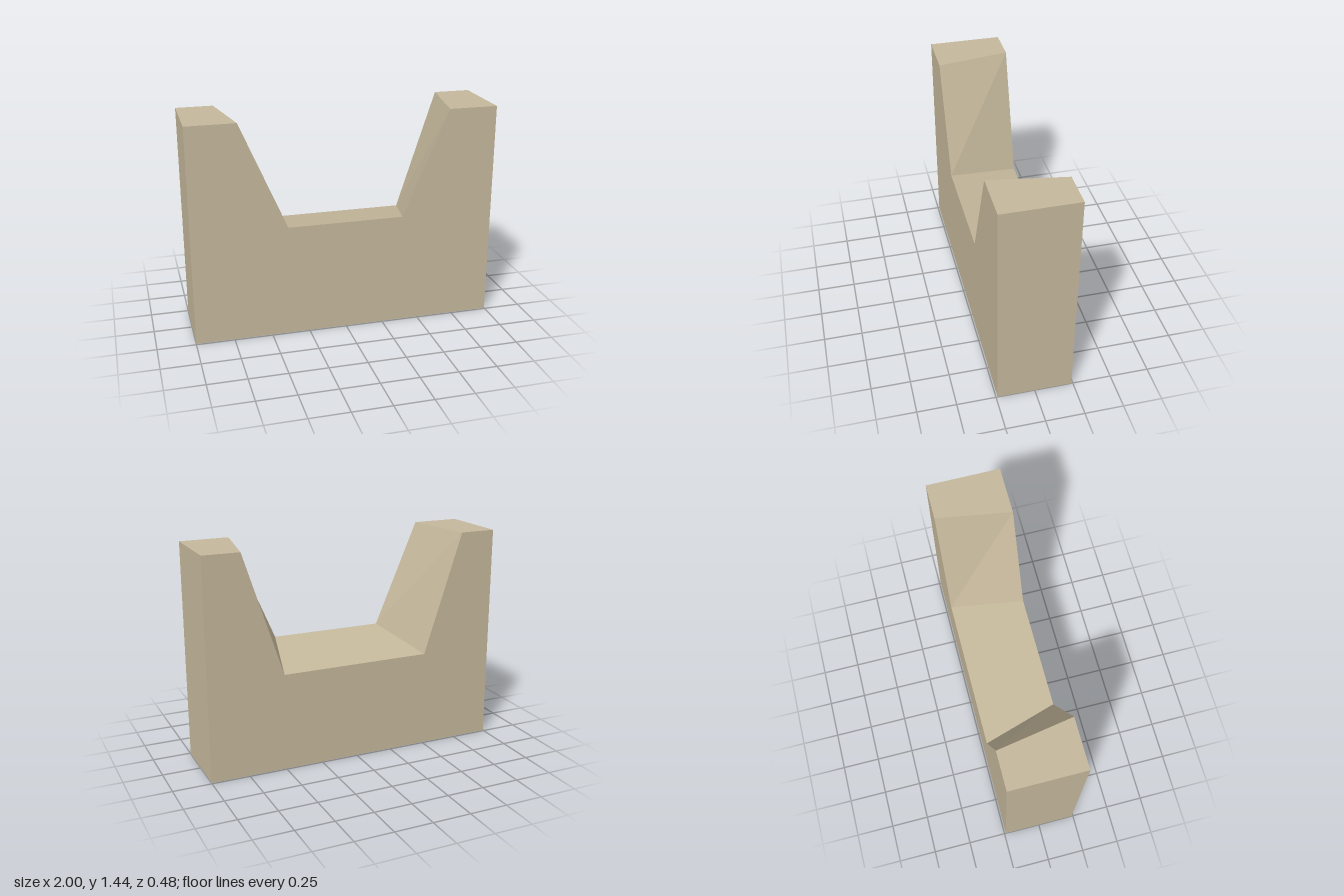
import * as THREE from 'three';

export function createModel() {
  const group = new THREE.Group();
  const stone = new THREE.MeshStandardMaterial({ color: 0xc4b79b });
  stone.name = 'sandstone';

  // Embrasure outline at the front face, mirrored about x = 0
  const right = [[1, 0], [1, 1.44], [0.68, 1.44], [0.38, 0.74]];
  const left = right.map(([x, y]) => [-x, y]).reverse();
  const outline = [...right, ...left].map(([x, y]) => new THREE.Vector2(x, y));

  const depth = 0.48;
  const geometry = new THREE.ExtrudeGeometry(new THREE.Shape(outline), {
    depth, steps: 1, bevelEnabled: false,
  });
  geometry.translate(0, 0, -depth / 2);

  // The notch splays wider and its sill slopes down towards the back
  const p = geometry.attributes.position;
  for (let i = 0; i < p.count; i++) {
    if (p.getZ(i) > 0) continue;
    const x = p.getX(i), ax = Math.abs(x);
    if (Math.abs(ax - 0.68) < 0.01) p.setX(i, Math.sign(x) * 0.76);
    if (Math.abs(ax - 0.38) < 0.01) p.setXY(i, Math.sign(x) * 0.5, 0.64);
  }
  geometry.computeVertexNormals();

  const wall = new THREE.Mesh(geometry, stone);
  wall.name = 'notchedWallBlock';
  group.add(wall);
  return group;
}
